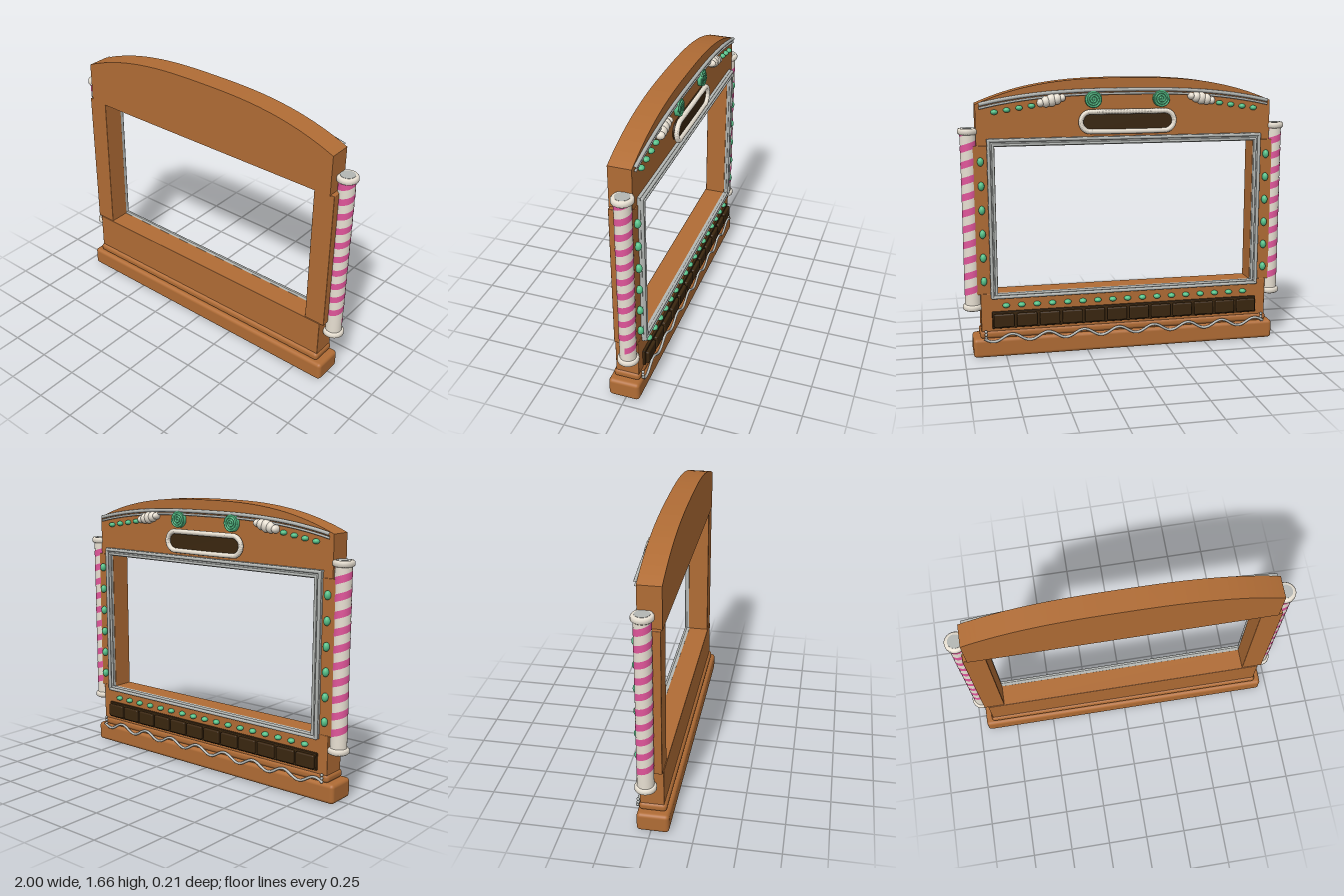
import * as THREE from 'three';
import { RoundedBoxGeometry } from 'three/addons/geometries/RoundedBoxGeometry.js';

const mat = (name, color, side = THREE.FrontSide) => {
  const m = new THREE.MeshStandardMaterial({ color, side });
  m.name = name;
  return m;
};

export function createModel() {
  const root = new THREE.Group();
  root.name = 'candyFrame';
  const biscuit = mat('biscuit', 0xb06c35);
  const cream = mat('cream', 0xece4d6);
  const pink = mat('pink', 0xe0559a, THREE.DoubleSide);
  const icing = mat('greyIcing', 0xb4b7b4);
  const chocolate = mat('chocolate', 0x3a260f);
  const green = mat('green', 0x55c088);

  const add = (name, geo, material, x = 0, y = 0, z = 0, parent = root) => {
    const m = new THREE.Mesh(geo, material);
    m.name = name;
    m.position.set(x, y, z);
    parent.add(m);
    return m;
  };
  // Rounded block given by its extents
  const block = (name, x0, x1, y0, y1, z0, z1, r, material = biscuit) =>
    add(name, new RoundedBoxGeometry(x1 - x0, y1 - y0, z1 - z0, 3, r), material,
      (x0 + x1) / 2, (y0 + y1) / 2, (z0 + z1) / 2);
  const tube = (name, pts, r, material, closed = false, n = 100) =>
    add(name, new THREE.TubeGeometry(new THREE.CatmullRomCurve3(pts, closed), n, r, 8, closed), material);
  const v = (x, y, z) => new THREE.Vector3(x, y, z);

  // Plinth, moulding, lower body and side posts
  block('plinth', -0.945, 0.945, 0, 0.117, -0.083, 0.105, 0.022);
  block('moulding', -0.905, 0.905, 0.115, 0.167, -0.075, 0.086, 0.022);
  block('lowerBody', -0.895, 0.895, 0.16, 0.395, -0.068, 0.071, 0.004);
  for (const s of [-1, 1])
    block('sidePost', s > 0 ? 0.79 : -0.92, s > 0 ? 0.92 : -0.79, 0.39, 1.28, -0.066, 0.066, 0.004);

  // Arched header
  const archY = (x, top, drop) => top - drop * Math.pow(Math.abs(x) / 0.895, 2.7);
  const arch = new THREE.Shape();
  arch.moveTo(-0.895, 1.275);
  arch.lineTo(0.895, 1.275);
  for (let i = 0; i <= 40; i++) {
    const x = 0.895 * Math.cos((i / 40) * Math.PI);
    arch.lineTo(x, archY(x, 1.665, 0.145));
  }
  add('archHeader', new THREE.ExtrudeGeometry(arch, { depth: 0.133, bevelEnabled: false }),
    biscuit, 0, 0, -0.062);

  // Piping under the arch
  for (const [dy, r] of [[0, 0.011], [-0.022, 0.007]]) {
    const pts = [];
    for (let i = 0; i <= 20; i++) {
      const x = -0.875 + (1.75 * i) / 20;
      pts.push(v(x, archY(x, 1.595, 0.08) + dy, -0.071));
    }
    tube('archPiping', pts, r, icing);
  }

  // Window frame: flat ring with raised strands
  const rect = (T, w, y0, y1) => {
    const p = new T();
    p.moveTo(-w, y0); p.lineTo(w, y0); p.lineTo(w, y1); p.lineTo(-w, y1); p.closePath();
    return p;
  };
  const ring = rect(THREE.Shape, 0.835, 0.368, 1.322);
  ring.holes.push(rect(THREE.Path, 0.792, 0.396, 1.275));
  add('windowFrame', new THREE.ExtrudeGeometry(ring, { depth: 0.02, bevelEnabled: false }), icing, 0, 0, -0.08);
  for (const [w, y0, y1, r] of [[0.825, 0.374, 1.312, 0.01], [0.8, 0.392, 1.286, 0.008]]) {
    const strand = (len, x, y, upright) => {
      const m = add('frameStrand', new THREE.CapsuleGeometry(r, len, 4, 8), icing, x, y, -0.086);
      if (!upright) m.rotation.z = Math.PI / 2;
    };
    for (const s of [-1, 1]) strand(y1 - y0, s * w, (y0 + y1) / 2, true);
    for (const y of [y0, y1]) strand(2 * w, 0, y, false);
  }

  // Striped corner poles with caps
  const poleR = 0.048, pitch = 0.095;
  const cap = new THREE.LatheGeometry([[0, -0.018], [0.052, -0.018], [0.062, -0.01], [0.062, 0.009],
    [0.055, 0.018], [0.04, 0.018], [0, 0.018]].map(p => new THREE.Vector2(...p)), 28);
  const helix = () => {
    const pos = [], idx = [], n = 420, y0 = 0.33, y1 = 1.345;
    const clamp = y => Math.min(y1, Math.max(y0, y));
    for (let i = 0; i <= n; i++) {
      const t = -6 * Math.PI + (i / n) * 24 * Math.PI;
      const yc = 1.255 - (pitch * t) / (2 * Math.PI);
      for (const dy of [-0.021, 0.021])
        pos.push((poleR + 0.0012) * Math.cos(t), clamp(yc + dy), (poleR + 0.0012) * Math.sin(t));
      if (i < n) {
        const a = 2 * i;
        idx.push(a, a + 1, a + 2, a + 1, a + 3, a + 2);
      }
    }
    const g = new THREE.BufferGeometry();
    g.setAttribute('position', new THREE.Float32BufferAttribute(pos, 3));
    g.setIndex(idx);
    g.computeVertexNormals();
    return g;
  };
  const stripe = helix();
  for (const s of [-1, 1]) {
    const pole = new THREE.Group();
    pole.name = s > 0 ? 'leftPole' : 'rightPole';
    pole.position.set(s * 0.937, 0, -0.024);
    root.add(pole);
    add('poleShaft', new THREE.CylinderGeometry(poleR, poleR, 1.04, 32), cream, 0, 0.838, 0, pole);
    add('poleStripe', stripe, pink, 0, 0, 0, pole);
    add('lowerCap', cap, cream, 0, 0.31, 0, pole);
    add('upperCap', cap, cream, 0, 1.364, 0, pole);
    add('capDisc', new THREE.CylinderGeometry(0.042, 0.042, 0.003, 24), icing, 0, 1.382, 0, pole);
  }

  // Name plate: dark capsule with a rope border
  const pill = (hw, r) => {
    const p = new THREE.Shape();
    p.absarc(hw, 0, r, -Math.PI / 2, Math.PI / 2);
    p.absarc(-hw, 0, r, Math.PI / 2, Math.PI * 1.5);
    return p;
  };
  add('plate', new THREE.ExtrudeGeometry(pill(0.225, 0.058), { depth: 0.02, bevelEnabled: false, curveSegments: 16 }),
    chocolate, 0, 1.41, -0.08);
  const rope = pill(0.225, 0.058).getSpacedPoints(90);
  const bead = new THREE.SphereGeometry(0.0155, 10, 8);
  tube('plateBorder', rope.slice(0, 90).map(p => v(p.x, p.y + 1.41, -0.086)), 0.0145, cream, true, 120);
  for (const p of rope.slice(0, 90)) add('borderBead', bead, cream, p.x, p.y + 1.41, -0.087);

  // Gumdrops
  const drop = new THREE.SphereGeometry(1, 16, 12);
  const gumdrop = (x, y, rx, ry, z) => add('gumdrop', drop, green, x, y, z).scale.set(rx, ry, 0.02);
  for (let i = 0; i < 17; i++) gumdrop(-0.745 + (1.49 * i) / 16, 0.32, 0.022, 0.015, -0.077);
  for (const s of [-1, 1]) {
    for (let i = 0; i < 6; i++) gumdrop(s * 0.873, 0.475 + 0.143 * i, 0.019, 0.026, -0.077);
    for (let i = 0; i < 4; i++) gumdrop(s * (0.57 + 0.072 * i), 1.508 - 0.011 * i, 0.021, 0.015, -0.07);

    // Cream puffs
    [0.022, 0.032, 0.037, 0.033, 0.024].forEach((r, i) => {
      const m = add('creamPuff', drop, cream, s * (0.39 + 0.032 * i), 1.552 - 0.007 * i, -0.072);
      m.scale.set(r * 0.9, r, 0.032);
    });

    // Spiral sweets
    const disc = add('spiralSweet', new THREE.CylinderGeometry(0.05, 0.05, 0.025, 28), green, s * 0.205, 1.54, -0.073);
    disc.rotation.x = Math.PI / 2;
    const pts = [];
    for (let i = 0; i <= 48; i++) {
      const a = (i / 48) * 6 * Math.PI, r = 0.004 + (0.042 * i) / 48;
      pts.push(v(s * (0.205 + r * Math.cos(a)), 1.54 + r * Math.sin(a), -0.087));
    }
    tube('spiralRidge', pts, 0.006, green, false, 140);
  }

  // Chocolate bar with bevelled tiles
  block('chocolateBar', -0.83, 0.83, 0.18, 0.283, -0.084, -0.06, 0.004, chocolate);
  for (let i = 0; i < 12; i++) {
    const x = -0.83 + (1.66 * (i + 0.5)) / 12;
    block('chocolateTile', x - 0.061, x + 0.061, 0.191, 0.272, -0.104, -0.08, 0.008, chocolate);
  }

  // Wavy icing along the plinth
  const wave = [];
  for (let i = 0; i <= 72; i++) {
    const x = -0.88 + (1.76 * i) / 72;
    wave.push(v(x, 0.122 + 0.022 * Math.sin((i / 72) * 16 * Math.PI), -0.088));
  }
  tube('wavyIcing', wave, 0.008, icing, false, 220);
  for (const s of [-1, 1])
    for (let i = 0; i < 3; i++)
      add('icingBead', bead, icing, s * 0.87, 0.125 + 0.02 * i, -0.084).scale.setScalar(0.6);

  return root;
}
